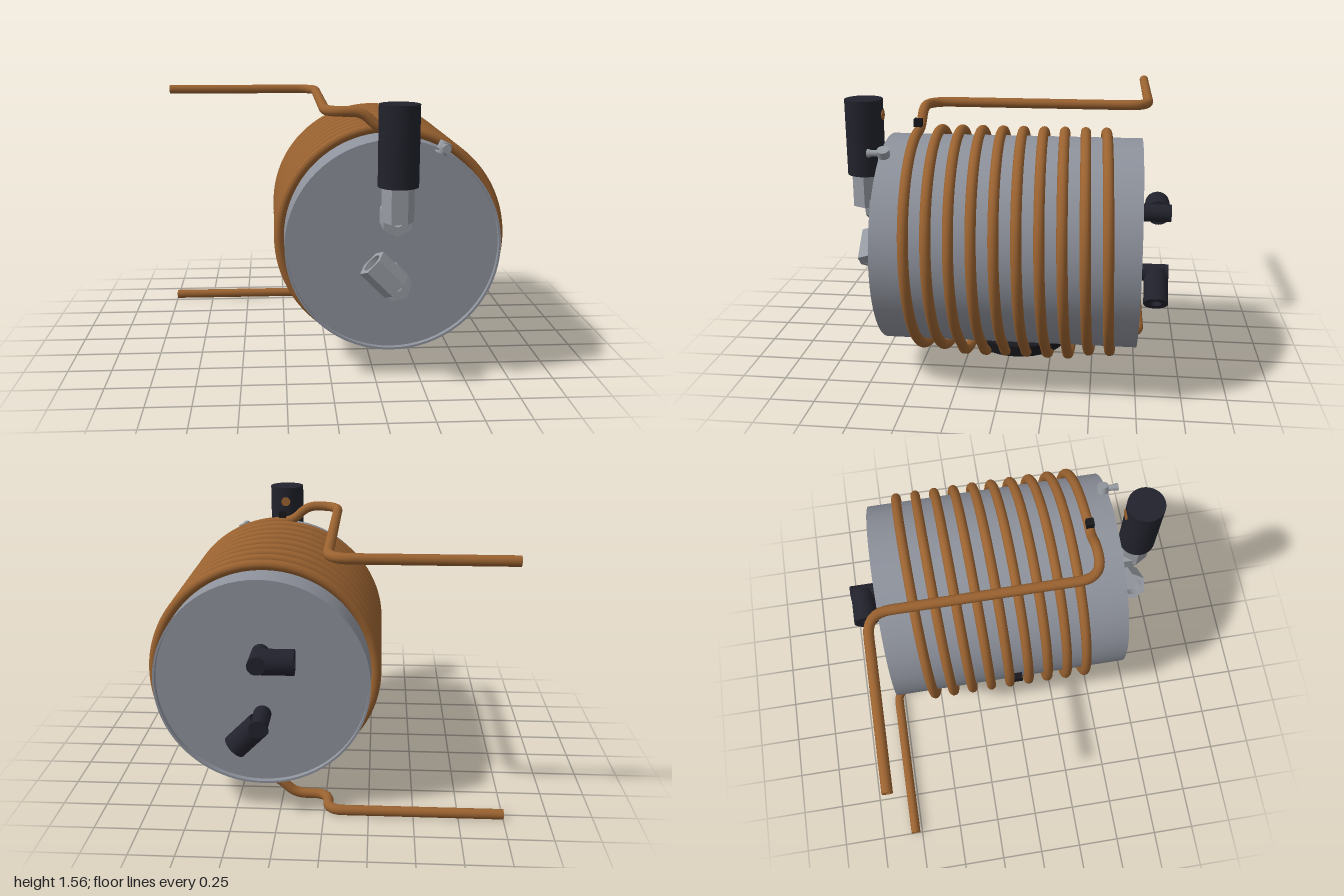
import * as THREE from 'three';
import { toCreasedNormals } from 'three/addons/utils/BufferGeometryUtils.js';

const CX = 0.342, CY = 0.76; // drum axis
const material = (name, color) => {
  const m = new THREE.MeshStandardMaterial({ color });
  m.name = name;
  return m;
};
const V = (x, y, z) => new THREE.Vector3(x, y, z);

export function createModel() {
  const model = new THREE.Group();
  model.name = 'coiledBoiler';
  const steel = material('drum steel', 0x8e929c);
  const silver = material('fitting silver', 0x979ca3);
  const copper = material('copper', 0x9a6230);
  const plastic = material('black plastic', 0x22222d);
  const rubber = material('dark rubber', 0x18181d);

  const add = (name, geometry, mat, parent = model) => {
    const mesh = new THREE.Mesh(geometry, mat);
    mesh.name = name;
    parent.add(mesh);
    return mesh;
  };
  const group = (name, x, y, z, turn) => {
    const g = new THREE.Group();
    g.name = name;
    g.position.set(x, y, z);
    g.rotation.z = turn;
    model.add(g);
    return g;
  };
  // Lathe with crisp edges, profile given as [radius, height] pairs
  const lathe = (profile, sides) => toCreasedNormals(
    new THREE.LatheGeometry(profile.map(([r, h]) => new THREE.Vector2(r, h)), sides), 0.6);
  // Cylinder between two points
  const rod = (a, b, r, sides = 20) => {
    const g = new THREE.CylinderGeometry(r, r, a.distanceTo(b), sides);
    const q = new THREE.Quaternion().setFromUnitVectors(V(0, 1, 0), b.clone().sub(a).normalize());
    const mid = a.clone().add(b).multiplyScalar(0.5);
    return g.applyQuaternion(q).translate(mid.x, mid.y, mid.z);
  };
  // Bored hexagonal bar along z
  const hexBar = (radius, bore, depth, start) => {
    const shape = new THREE.Shape(Array.from({ length: 6 }, (_, i) => {
      const a = start + i * Math.PI / 3;
      return new THREE.Vector2(radius * Math.cos(a), radius * Math.sin(a));
    }));
    shape.holes.push(new THREE.Path().absarc(0, 0, bore, 0, Math.PI * 2, true));
    return new THREE.ExtrudeGeometry(shape, { depth, bevelEnabled: false, curveSegments: 12 });
  };

  // Drum with recessed ends
  add('drum', lathe([[0, -0.72], [0.583, -0.72], [0.583, -0.75], [0.595, -0.75],
    [0.595, 0.675], [0.583, 0.675], [0.583, 0.645], [0, 0.645]], 72)
    .rotateX(Math.PI / 2).translate(CX, CY, 0), steel);

  // Polyline with rounded corners; each inner entry is [point, corner size]
  const rounded = (first, corners, last) => {
    const out = [first];
    corners.forEach(([p, r], i) => {
      const prev = i ? corners[i - 1][0] : first;
      const next = i < corners.length - 1 ? corners[i + 1][0] : last;
      const a = p.clone().add(prev.clone().sub(p).setLength(r));
      const b = p.clone().add(next.clone().sub(p).setLength(r));
      out.push(...new THREE.QuadraticBezierCurve3(a, p, b).getPoints(6));
    });
    return [...out, last];
  };

  // Copper pipe: inlet, 9.5 turns bulging over the pad, outlet
  const COIL = 0.622, PIPE = 0.029, TURNS = 9.5, Z0 = 0.51, PITCH = 0.118;
  const Z1 = Z0 - TURNS * PITCH;
  const step = THREE.MathUtils.smoothstep;
  const helix = [];
  for (let i = 0; i <= TURNS * 40; i++) {
    const turn = i / 40, a = turn * Math.PI * 2, z = Z0 - turn * PITCH;
    const off = Math.abs(a % (Math.PI * 2) - Math.PI);
    const push = 0.032 * (1 - step(off, 0.38, 0.66)) * (1 - step(Math.abs(z + 0.07), 0.28, 0.45));
    const r = COIL + push;
    helix.push(V(CX + r * Math.sin(a), CY + r * Math.cos(a), z));
  }
  const inlet = rounded(V(-1, 1.485, -0.79), [
    [V(-0.02, 1.485, -0.79), 0.13], [V(-0.02, 1.485, Z0), 0.13],
    [V(0.18, 1.485, Z0), 0.06], [V(0.275, 1.39, Z0), 0.05]], helix[0]);
  const outlet = rounded(helix[helix.length - 1], [
    [V(0.275, 0.13, Z1), 0.05], [V(0.175, 0.03, Z1), 0.06],
    [V(-0.02, 0.03, Z1), 0.085], [V(-0.02, 0.03, -0.79), 0.085]], V(-1, 0.03, -0.79));
  const raw = [...inlet, ...helix.slice(1, -1), ...outlet];
  const path = [raw[0]];
  raw.slice(1).forEach((p, i) => { // fill long straight runs evenly
    const n = Math.ceil(raw[i].distanceTo(p) / 0.1);
    for (let k = 1; k <= n; k++) path.push(raw[i].clone().lerp(p, k / n));
  });
  const curve = new THREE.CatmullRomCurve3(path);
  curve.arcLengthDivisions = 4000;
  add('copperCoil', new THREE.TubeGeometry(curve, 1400, PIPE, 14), copper);
  for (const y of [1.485, 0.03]) {
    add('pipeMouth', lathe([[PIPE, 0], [0.018, 0], [0.018, -0.06], [0, -0.06]], 14)
      .rotateZ(Math.PI / 2).translate(-1, y, -0.79), copper);
  }

  // Pad under the drum and sensor clips
  add('bottomPad', new THREE.CylinderGeometry(0.28, 0.27, 0.065, 32).translate(CX, 0.17, -0.07), rubber);
  add('topClip', new THREE.BoxGeometry(0.045, 0.045, 0.045).translate(CX, 1.43, Z0), rubber);
  add('sideClip', new THREE.BoxGeometry(0.04, 0.05, 0.05).translate(-0.284, CY, 0), rubber);

  // Front hex elbows
  for (const [name, y, turn] of [['upperElbow', 0.94, 0], ['lowerElbow', 0.582, Math.PI / 4]]) {
    const g = group(name, CX, y, 0, turn);
    add('elbowInlet', hexBar(0.086, 0.03, 0.18, Math.PI / 2).translate(0, 0, 0.64), silver, g);
    add('elbowOutlet', hexBar(0.087, 0.055, 0.19, 0).rotateX(-Math.PI / 2).translate(0, 0, 0.82), silver, g);
    add('elbowCore', new THREE.CylinderGeometry(0.056, 0.056, 0.1, 20).translate(0, 0.055, 0.82), silver, g);
  }

  // Valve body on the upper elbow
  add('valveBody', rod(V(CX, 1.13, 0.82), V(CX, 1.56, 0.82), 0.108, 40), plastic);
  add('valvePort', rod(V(CX, 1.47, 0.709), V(CX, 1.47, 0.716), 0.03), copper);

  // Small bleed stud on the rim
  const dir = V(0.437, 0.9, 0);
  const at = (r, z) => V(CX + dir.x * r, CY + dir.y * r, z);
  add('studBase', rod(at(0.57, 0.65), at(0.638, 0.65), 0.034), silver);
  add('studPeg', rod(at(0.612, 0.65), at(0.612, 0.735), 0.018), silver);
  add('studTip', rod(at(0.612, 0.725), at(0.612, 0.74), 0.023), silver);

  // Back push-fit elbows
  for (const [name, y, turn] of [['upperBackElbow', 0.94, Math.PI / 2], ['lowerBackElbow', 0.58, -Math.PI * 0.75]]) {
    const g = group(name, CX, y, 0, turn);
    add('stem', rod(V(0, 0, -0.71), V(0, 0, -0.925), 0.05, 24), plastic, g);
    add('socket', lathe([[0, 0], [0.07, 0], [0.07, 0.195], [0.034, 0.195], [0.034, 0.1], [0, 0.1]], 28)
      .translate(0, 0, -0.855), plastic, g);
  }
  return model;
}
